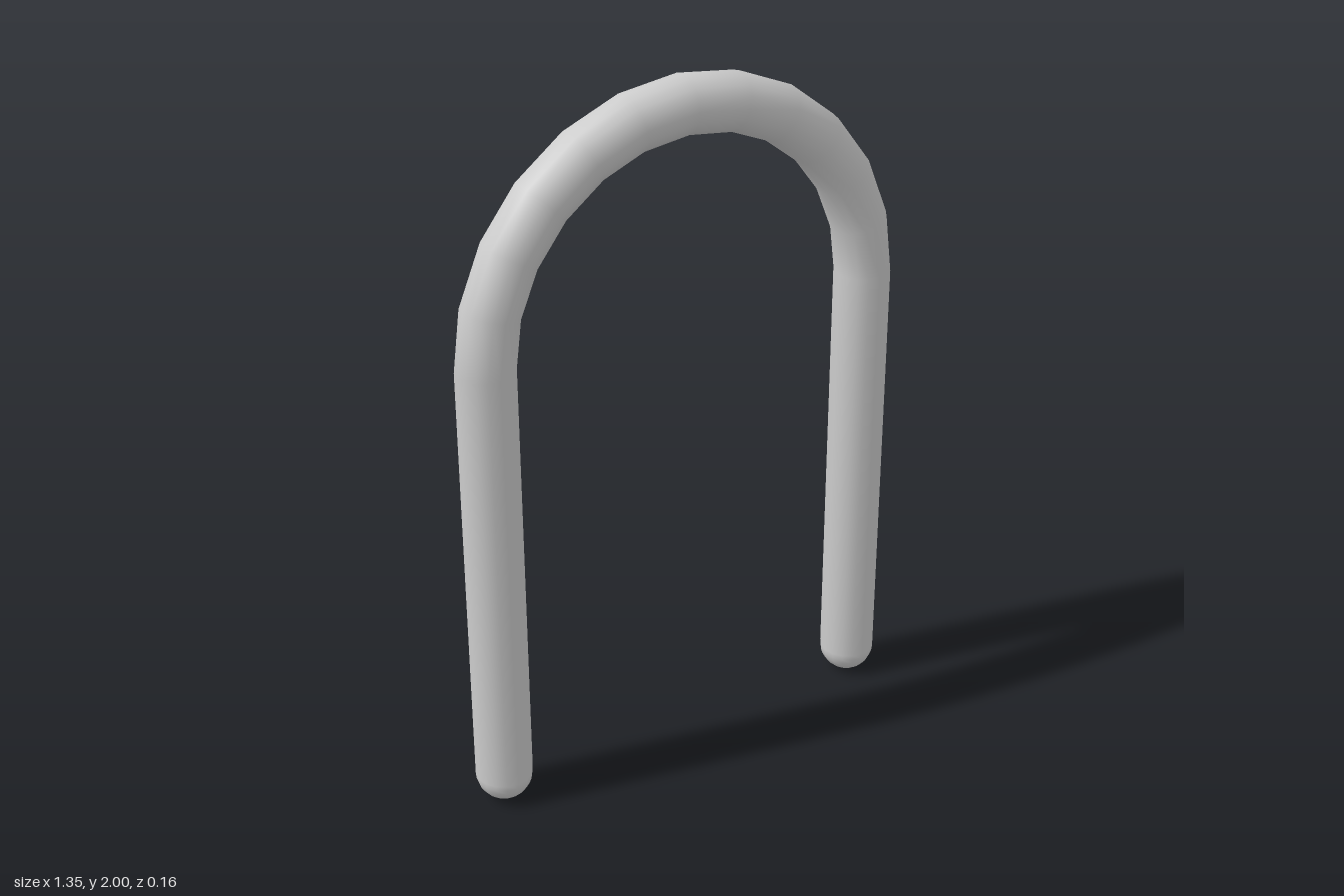
import * as THREE from 'three';

const TUBE = 0.08;      // tube radius
const BEND = 0.595;     // radius of the arch centre line
const SPRING = 1.325;   // height where the arch begins
const SIDES = 16;

export function createModel() {
  const group = new THREE.Group();
  group.name = 'hoop';
  const material = new THREE.MeshStandardMaterial({ color: 0xcccccc });

  const add = (name, geometry, x, y) => {
    const mesh = new THREE.Mesh(geometry, material);
    mesh.name = name;
    mesh.position.set(x, y, 0);
    group.add(mesh);
  };

  // Half-round arch
  add('arch', new THREE.TorusGeometry(BEND, TUBE, SIDES, 12, Math.PI), 0, SPRING);

  // Straight legs with rounded ends
  const legLength = SPRING - TUBE;
  for (const [side, x] of [['left', BEND], ['right', -BEND]]) {
    add(side + 'Leg', new THREE.CylinderGeometry(TUBE, TUBE, legLength, SIDES, 1, true), x, TUBE + legLength / 2);
    add(side + 'Tip', new THREE.SphereGeometry(TUBE, SIDES, 8, 0, Math.PI * 2, Math.PI / 2, Math.PI / 2), x, TUBE);
  }

  return group;
}
